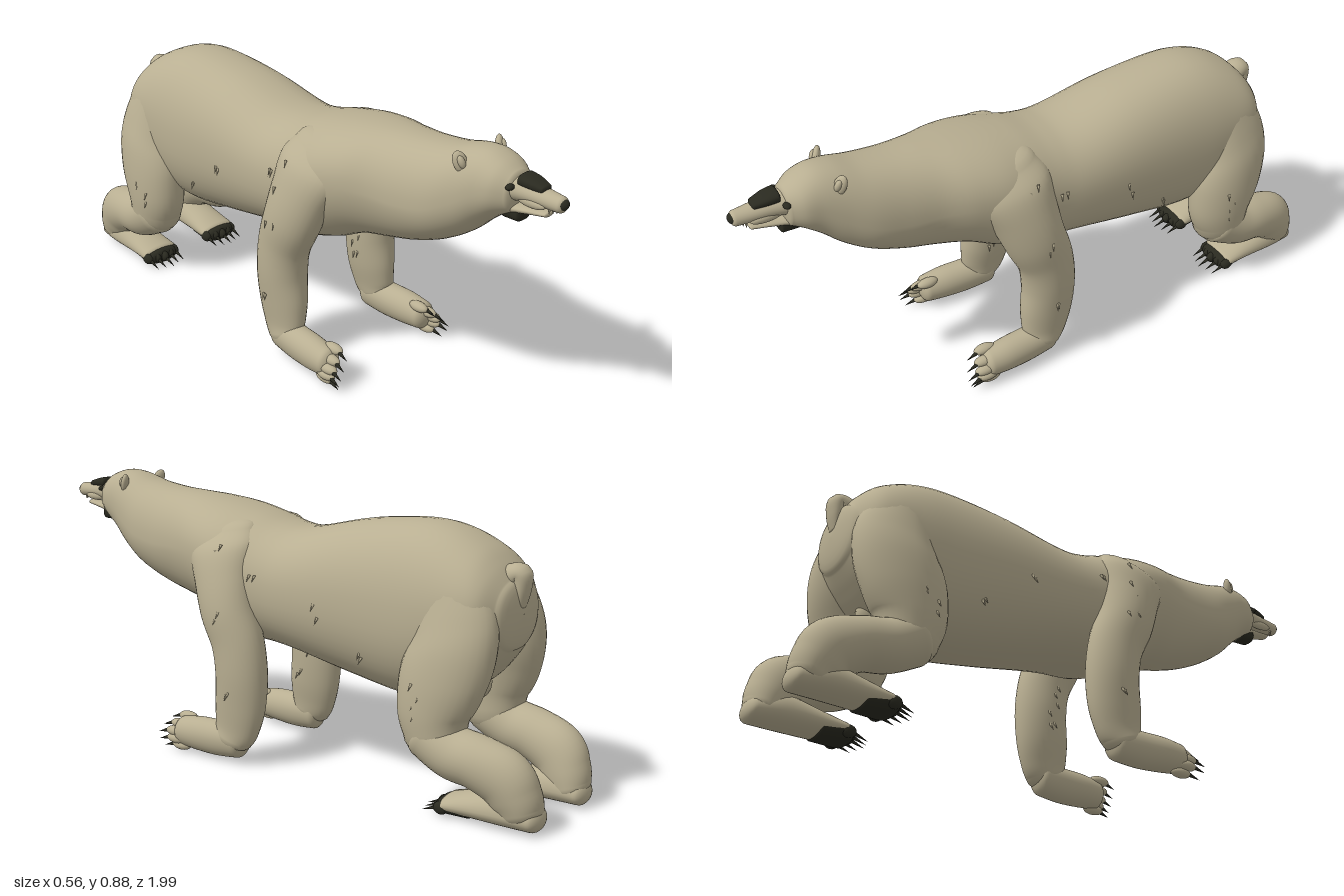
import * as THREE from 'three';

const fur = new THREE.MeshStandardMaterial({ color: 0xb9af92 });
fur.name = 'fur';
const dark = new THREE.MeshStandardMaterial({ color: 0x2a2a20 });
dark.name = 'dark skin';

const spline = (p0, p1, p2, p3, t) => 0.5 * (2 * p1 + (p2 - p0) * t
  + (2 * p0 - 5 * p1 + 4 * p2 - p3) * t * t + (3 * p1 - p0 - 3 * p2 + p3) * t * t * t);

// Smooth skin through rows of [x, y, z, halfWidth, up, down, keel], rounded off at both ends.
// A power below 1 gives boxier sections; a keel above 1 makes the lower half more pointed.
function loft(rows, { cap = 0.5, upright = false, steps = 6, sides = 32, power = 1 } = {}) {
  const n = rows.length, rings = [];
  const row = i => rows[Math.max(0, Math.min(n - 1, i))];
  for (let i = 0; i < n - 1; i++)
    for (let s = 0; s < steps + (i === n - 2 ? 1 : 0); s++)
      rings.push(row(i).map((_, k) => spline(row(i - 1)[k], row(i)[k], row(i + 1)[k], row(i + 2)[k], s / steps)));
  const vec = r => new THREE.Vector3(r[0], r[1], r[2]);
  const dome = (end, inner) => {
    const dir = vec(end).sub(vec(inner)).normalize();
    const depth = cap * Math.min(end[3], end[4], end[5]);
    return [1, 2, 3, 4, 5, 6].map(k => {
      const a = k / 6 * Math.PI / 2, f = Math.max(Math.cos(a), 0.002);
      const c = vec(end).addScaledVector(dir, depth * Math.sin(a));
      return [c.x, c.y, c.z, end[3] * f, end[4] * f, end[5] * f, end[6]];
    });
  };
  const last = rings.length - 1;
  const all = [...dome(rings[0], rings[1]).reverse(), ...rings, ...dome(rings[last], rings[last - 1])];
  const pos = [], index = [], X = new THREE.Vector3(1, 0, 0);
  all.forEach((r, i) => {
    const T = vec(all[Math.min(i + 1, all.length - 1)]).sub(vec(all[Math.max(i - 1, 0)]));
    const b = upright ? new THREE.Vector3(0, 1, 0) : T.cross(X).normalize();
    for (let j = 0; j < sides; j++) {
      const a = j / sides * Math.PI * 2, c = Math.cos(a), s = Math.sin(a);
      const h = s > 0 ? r[4] * s ** power : -r[5] * Math.abs(s) ** (r[6] ?? power);
      pos.push(r[0] + r[3] * Math.sign(c) * Math.abs(c) ** power, r[1] + b.y * h, r[2] + b.z * h);
      if (i < all.length - 1) {
        const p = i * sides + j, q = i * sides + (j + 1) % sides;
        index.push(p, q, p + sides, q, q + sides, p + sides);
      }
    }
  });
  const g = new THREE.BufferGeometry();
  g.setAttribute('position', new THREE.Float32BufferAttribute(pos, 3));
  g.setIndex(index);
  g.computeVertexNormals();
  return g;
}

export function createModel() {
  const bear = new THREE.Group();
  bear.name = 'bear';
  const add = (name, geometry, material = fur) => {
    const m = new THREE.Mesh(geometry, material);
    m.name = name;
    bear.add(m);
    return m;
  };
  const ball = (name, x, y, z, rx, ry, rz, material = fur) => {
    const m = add(name, new THREE.SphereGeometry(1, 20, 14), material);
    m.position.set(x, y, z);
    m.scale.set(rx, ry, rz);
    return m;
  };
  const spike = (name, x, y, z, dir, length, radius, material = fur) => {
    const m = add(name, new THREE.ConeGeometry(radius, length, 8), material);
    const d = new THREE.Vector3(...dir).normalize();
    m.position.set(x, y, z).addScaledVector(d, length / 2);
    m.quaternion.setFromUnitVectors(new THREE.Vector3(0, 1, 0), d);
  };

  // Trunk, neck and skull: [z, top, bottom, half width, height of widest point, keel]
  const trunk = [
    [-0.81, 0.69, 0.48, 0.12, 0.59, 0.92], [-0.775, 0.735, 0.43, 0.17, 0.59, 0.92], [-0.72, 0.78, 0.37, 0.192, 0.585, 0.92],
    [-0.62, 0.822, 0.315, 0.202, 0.57, 0.92], [-0.5, 0.835, 0.295, 0.205, 0.56, 0.92],
    [-0.3, 0.815, 0.325, 0.206, 0.57, 0.92], [-0.1, 0.772, 0.365, 0.206, 0.57, 0.92],
    [0, 0.775, 0.38, 0.206, 0.58, 0.92], [0.1, 0.80, 0.388, 0.212, 0.61, 0.92],
    [0.2, 0.82, 0.42, 0.212, 0.65, 0.96], [0.3, 0.833, 0.468, 0.192, 0.67, 1.05], [0.4, 0.84, 0.49, 0.16, 0.67, 1.15],
    [0.5, 0.846, 0.518, 0.147, 0.67, 1.1], [0.6, 0.86, 0.56, 0.136, 0.69, 1], [0.68, 0.882, 0.61, 0.114, 0.73, 0.95],
    [0.74, 0.887, 0.665, 0.096, 0.77, 0.92], [0.79, 0.872, 0.705, 0.083, 0.785, 0.92], [0.825, 0.85, 0.723, 0.06, 0.785, 0.92]];
  add('body', loft(trunk.map(([z, t, b, w, c, k]) => [0, c, z, w, t - c, c - b, k]),
    { upright: true, cap: 0.25, sides: 48, power: 0.9 }));

  // Muzzle, jaw, mouth, teeth and nose
  add('muzzle', loft([[0, 0.80, 0.80, 0.055, 0.042, 0.045], [0, 0.80, 0.86, 0.04, 0.033, 0.032],
    [0, 0.799, 0.92, 0.032, 0.027, 0.026], [0, 0.797, 0.975, 0.025, 0.025, 0.022]], { upright: true, cap: 0.7 }));
  add('lowerJaw', loft([[0, 0.738, 0.79, 0.045, 0.02, 0.024], [0, 0.747, 0.86, 0.03, 0.012, 0.014],
    [0, 0.757, 0.935, 0.02, 0.008, 0.009]], { upright: true, cap: 0.7 }));
  add('mouth', loft([[0, 0.73, 0.80, 0.032, 0.024, 0.027], [0, 0.73, 0.848, 0.031, 0.024, 0.025]],
    { upright: true, cap: 0.4, power: 0.7 }), dark);
  ball('nose', 0, 0.80, 0.979, 0.02, 0.017, 0.017, dark);
  add('browPatch', loft([[0, 0.832, 0.85, 0.034, 0.019, 0.016], [0, 0.831, 0.88, 0.032, 0.016, 0.016],
    [0, 0.826, 0.92, 0.022, 0.01, 0.014]], { upright: true, cap: 0.6, power: 0.8 }), dark);
  for (let i = -2; i <= 2; i++)
    spike('tooth', i * 0.009, 0.779, 0.962 - Math.abs(i) * 0.006, [0, -1, 0], 0.014, 0.004);

  // Tail and the small fold between the thighs
  add('tail', loft([[0, 0.685, -0.775, 0.045, 0.04, 0.04], [0, 0.705, -0.822, 0.037, 0.03, 0.03],
    [0, 0.66, -0.83, 0.032, 0.035, 0.02], [0, 0.615, -0.826, 0.023, 0.03, 0.012]], { cap: 0.8 }));
  ball('underFold', 0, 0.37, -0.69, 0.035, 0.055, 0.045);

  let seed = 7;
  const rand = () => (seed = (seed * 16807) % 2147483647) / 2147483647;

  for (const s of [1, -1]) {
    const side = s > 0 ? 'left' : 'right';
    const limb = (name, rows, options, material) =>
      add(side + name, loft(rows.map(([x, ...rest]) => [x * s, ...rest]), options), material);

    // Eyes, cheeks and ears
    ball(side + 'Eye', s * 0.048, 0.816, 0.836, 0.015, 0.009, 0.011, dark);
    ball(side + 'Cheek', s * 0.024, 0.783, 0.89, 0.013, 0.015, 0.05);
    const ear = ball(side + 'Ear', s * 0.081, 0.848, 0.685, 0.021, 0.036, 0.013);
    ear.rotation.set(-0.2, s * 0.5, -s * 0.3);
    const rim = ball(side + 'EarRim', s * 0.085, 0.852, 0.692, 0.011, 0.021, 0.012);
    rim.rotation.copy(ear.rotation);

    // Front leg, paw, toes and claws
    limb('FrontLeg', [
      [0.115, 0.745, 0.17, 0.06, 0.12, 0.10], [0.147, 0.69, 0.16, 0.08, 0.14, 0.12],
      [0.176, 0.60, 0.14, 0.081, 0.115, 0.108], [0.193, 0.50, 0.11, 0.08, 0.103, 0.097],
      [0.195, 0.40, 0.077, 0.074, 0.09, 0.095], [0.194, 0.30, 0.065, 0.072, 0.088, 0.095],
      [0.194, 0.20, 0.07, 0.063, 0.09, 0.094], [0.198, 0.125, 0.08, 0.052, 0.08, 0.083],
      [0.202, 0.09, 0.09, 0.05, 0.07, 0.07]], { cap: 0.7 });
    limb('FrontPaw', [[0.2, 0.082, 0.07, 0.048, 0.055, 0.06], [0.205, 0.078, 0.15, 0.05, 0.055, 0.063],
      [0.21, 0.076, 0.23, 0.05, 0.055, 0.058], [0.213, 0.074, 0.295, 0.044, 0.048, 0.05]], { upright: true, cap: 0.6 });
    for (let i = 0; i < 5; i++) {
      const f = i / 4, x = s * (0.19 + 0.047 * Math.sin(f * 2.3)), y = 0.115 - 0.09 * f;
      const z = 0.3 + 0.02 * Math.sin(f * Math.PI);
      ball(side + 'FrontToe', x, y, z, 0.019, 0.017, 0.038);
      spike(side + 'FrontClaw', x + s * 0.004, y, z + 0.027, [s * 0.1, -0.3, 1], 0.045, 0.008, dark);
    }

    // Hind leg, foot, dark pad, toes and claws
    limb('Thigh', [
      [0.105, 0.65, -0.66, 0.085, 0.10, 0.12], [0.122, 0.57, -0.675, 0.094, 0.115, 0.142],
      [0.143, 0.49, -0.68, 0.097, 0.125, 0.145], [0.16, 0.40, -0.665, 0.092, 0.132, 0.138],
      [0.167, 0.31, -0.65, 0.087, 0.118, 0.115], [0.167, 0.245, -0.655, 0.082, 0.10, 0.095]], { cap: 1 });
    limb('LowerLeg', [
      [0.169, 0.245, -0.64, 0.08, 0.085, 0.07], [0.171, 0.20, -0.72, 0.08, 0.08, 0.08],
      [0.167, 0.185, -0.80, 0.078, 0.08, 0.08], [0.157, 0.15, -0.88, 0.074, 0.085, 0.088],
      [0.148, 0.10, -0.92, 0.07, 0.085, 0.072], [0.142, 0.06, -0.938, 0.064, 0.075, 0.057]], { cap: 0.6 });
    limb('HindFoot', [[0.138, 0.046, -0.97, 0.054, 0.04, 0.036], [0.138, 0.052, -0.89, 0.066, 0.065, 0.042],
      [0.135, 0.045, -0.78, 0.067, 0.046, 0.036], [0.133, 0.038, -0.70, 0.07, 0.028, 0.029]],
      { upright: true, cap: 0.7 });
    limb('HindPad', [[0.133, 0.03, -0.77, 0.058, 0.02, 0.026], [0.133, 0.032, -0.70, 0.068, 0.026, 0.028],
      [0.133, 0.03, -0.68, 0.066, 0.026, 0.025]], { upright: true, cap: 0.6 }, dark);
    for (let i = -2; i <= 2; i++) {
      const x = s * 0.133 + i * 0.028, z = -0.675 - Math.abs(i) * 0.009;
      ball(side + 'HindToe', x, 0.03, z, 0.016, 0.02, 0.024, dark);
      spike(side + 'HindClaw', x, 0.028, z + 0.015, [0, -0.35, 1], 0.052, 0.007, dark);
    }

    // Loose tufts of fur on the legs and flank
    const tufts = [[0.252, 0.60, 0.12], [0.268, 0.50, 0.09], [0.26, 0.24, 0.06], [0.222, 0.70, 0.13],
      [0.203, 0.62, 0.02], [0.204, 0.55, -0.25], [0.18, 0.42, -0.4], [0.246, 0.38, -0.64],
      [0.245, 0.33, -0.62], [0.125, 0.36, 0.08], [0.126, 0.31, 0.06], [0.128, 0.25, 0.07]];
    for (const [x, y, z] of tufts)
      for (let k = 0; k < 2; k++)
        spike(side + 'Tuft', s * x, y + (rand() - 0.5) * 0.05, z + (rand() - 0.5) * 0.05,
          [s * (x < 0.15 ? -0.5 : 0.5), -1, 0.2], 0.026, 0.005);
  }
  return bear;
}
